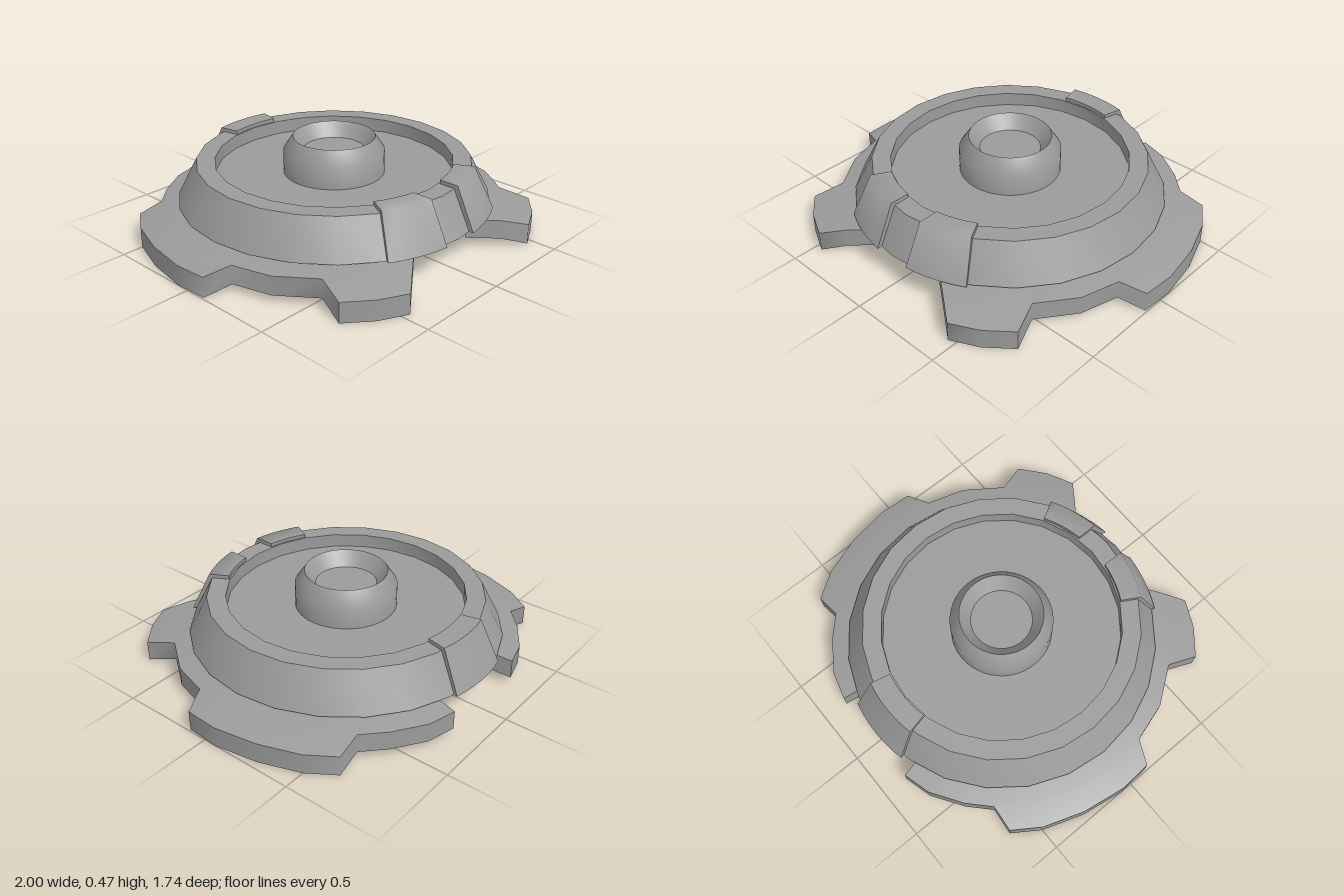
import * as THREE from 'three';
import { toCreasedNormals } from 'three/addons/utils/BufferGeometryUtils.js';

const material = new THREE.MeshStandardMaterial({ color: 0x9b9b9b });

// Edges bent by more than the crease angle stay sharp
function addMesh(parent, name, geometry, crease) {
  const mesh = new THREE.Mesh(toCreasedNormals(geometry, crease), material);
  mesh.name = name;
  parent.add(mesh);
}

function lathe(points, sides) {
  return new THREE.LatheGeometry(points.map(([r, y]) => new THREE.Vector2(r, y)), sides);
}

// Solid through equal closed cross-sections, with both ends capped
function loft(sections) {
  const n = sections[0].length, last = (sections.length - 1) * n, index = [];
  for (let i = 0; i < sections.length - 1; i++) {
    for (let k = 0; k < n; k++) {
      const a = i * n + k, b = i * n + (k + 1) % n;
      index.push(a, a + n, b + n, a, b + n, b);
    }
  }
  for (let k = 1; k < n - 1; k++) {
    index.push(0, k, k + 1, last, last + k + 1, last + k);
  }
  const g = new THREE.BufferGeometry();
  g.setAttribute('position', new THREE.Float32BufferAttribute(sections.flat(2), 3));
  g.setIndex(index);
  return g;
}

// Mirror cross-sections in x, reversing the order so faces stay outward
function mirror(sections) {
  return sections.map(s => s.map(([x, y, z]) => [-x, y, z])).reverse();
}

// Raised plate over the rim; start and end give the angle at each radius
function panel(start, end, steps) {
  const profile = [[0.615, 0.34], [0.8, 0.162], [0.823, 0.162], [0.72, 0.375], [0.615, 0.375]];
  const sections = [];
  for (let i = 0; i <= steps; i++) {
    sections.push(profile.map(([r, y]) => {
      const a = THREE.MathUtils.lerp(start(r), end(r), i / steps);
      return [r * Math.sin(a), y, r * Math.cos(a)];
    }));
  }
  return sections;
}

// Toothed half ring: heights fall away with radius
const INNER = 0.73, MID = 0.885;
function ringHeights(r) {
  if (r <= MID) {
    const t = (r - INNER) / (MID - INNER);
    return [0.06 - 0.02 * t, 0.158 - 0.02 * t];
  }
  const t = Math.min((r - MID) / (1 - MID), 1);
  return [0.04 - 0.04 * t, 0.138 - 0.033 * t];
}

function halfRing() {
  // outer outline from the front end to the back end, as x and z
  const outline = [
    [0.46, 0.898], [0.6, 0.828], [0.727, 0.722],
    [0.674, 0.572], [0.807, 0.387], [0.866, 0.188],
    [0.99, 0.135], [1, -0.037], [0.963, -0.262], [0.89, -0.469], [0.797, -0.607],
    [0.663, -0.595], [0.556, -0.697], [0.4, -0.8], [0.257, -0.84],
  ];
  return outline.map(([x, z], i) => {
    const r = Math.hypot(x, z);
    let inner = [x * INNER / r, z * INNER / r];
    if (i === 0) inner = [0.2, 0.702];
    if (i === outline.length - 1) inner = [0.23, -0.693];
    const t = Math.min((MID - INNER) / (r - INNER), 0.97);
    const mid = [inner[0] + (x - inner[0]) * t, inner[1] + (z - inner[1]) * t];
    const corner = ([px, pz], side) => [px, ringHeights(Math.hypot(px, pz))[side], pz];
    const outer = [x, z];
    return [corner(mid, 0), corner(outer, 0), corner(outer, 1),
      corner(mid, 1), corner(inner, 1), corner(inner, 0)];
  });
}

export function createModel() {
  const model = new THREE.Group();
  model.name = 'roundCover';
  const body = new THREE.Group();
  body.name = 'body';
  body.position.z = -0.03;
  model.add(body);

  // Sloped dish with a shallow recessed floor
  addMesh(body, 'dish', lathe([
    [0, 0.163], [0.805, 0.163], [0.705, 0.355], [0.61, 0.355], [0.61, 0.283], [0, 0.283],
  ], 24), 0.5);

  // Hollow hub with a sharp lip and a soft shoulder
  addMesh(body, 'hub', lathe([
    [0.26, 0.27], [0.26, 0.4], [0.21, 0.473], [0.155, 0.4], [0, 0.4],
  ], 48), 0.7);

  // Pair of front plates with a straight slot between them, and one at the back
  const front = panel(r => Math.asin(0.1 / r), () => 0.51, 5);
  addMesh(body, 'leftFrontPlate', loft(front), 1.2);
  addMesh(body, 'rightFrontPlate', loft(mirror(front)), 1.2);
  addMesh(body, 'backPlate', loft(panel(() => Math.PI - 0.223, () => Math.PI + 0.223, 6)), 0.5);

  // Toothed ring halves, open at the front and the back
  const half = halfRing();
  addMesh(body, 'leftToothedRing', loft(half), 1.15);
  addMesh(body, 'rightToothedRing', loft(mirror(half)), 1.15);

  return model;
}
